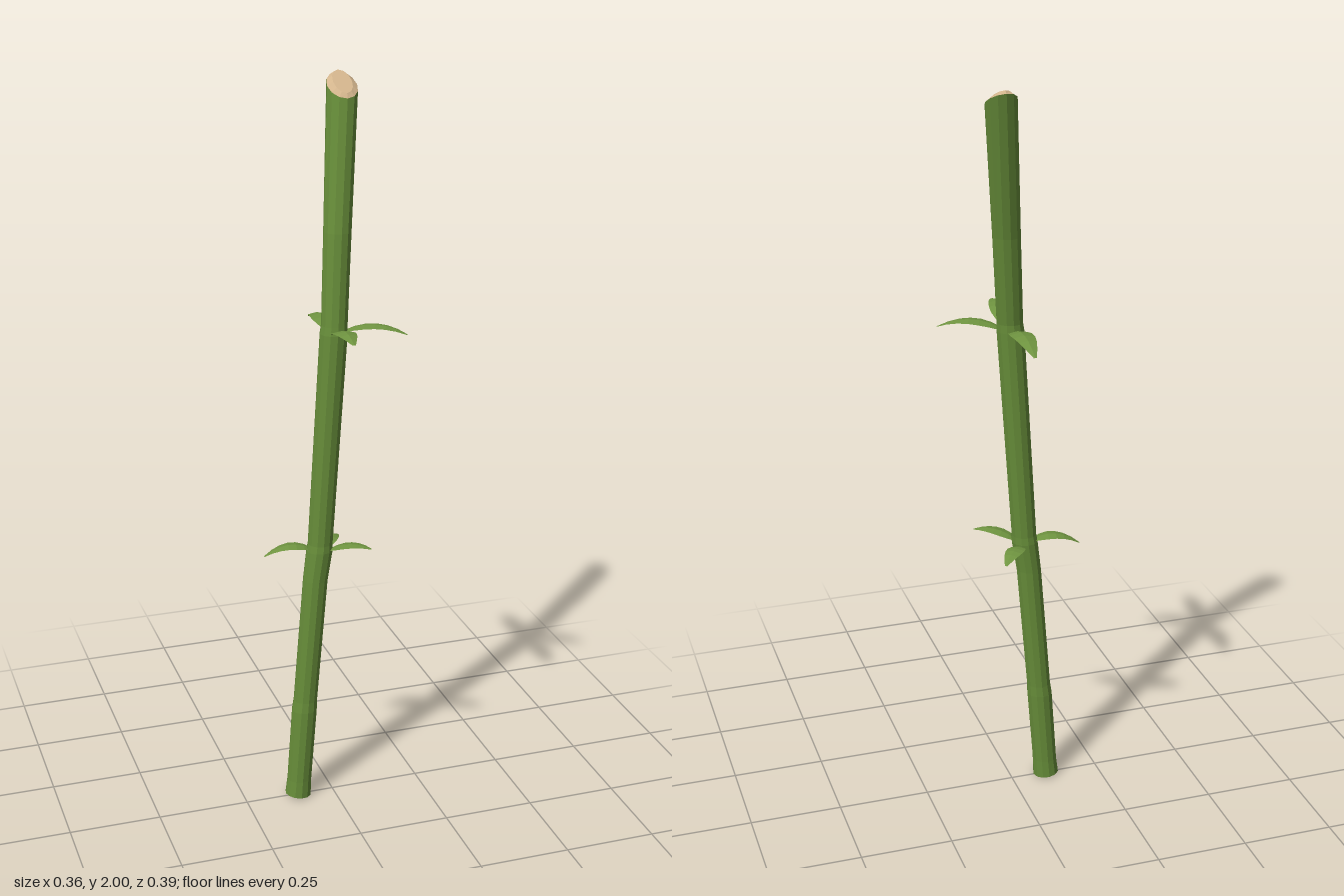
import * as THREE from 'three';

const SIDES = 12;

// Indexed grid of points, drawn with flat facets
function gridGeometry(rows, closed) {
  const n = rows[0].length, index = [];
  for (let i = 0; i < rows.length - 1; i++) {
    for (let k = 0; k < (closed ? n : n - 1); k++) {
      const a = i * n + k, b = i * n + (k + 1) % n;
      index.push(a, b, b + n, a, b + n, a + n);
    }
  }
  const g = new THREE.BufferGeometry();
  g.setAttribute('position', new THREE.Float32BufferAttribute(rows.flat(2), 3));
  g.setIndex(index);
  const flat = g.toNonIndexed();
  flat.computeVertexNormals();
  return flat;
}

// Elliptical ring; tiltX and tiltZ lift it along x and z
function ring([x, y, z, rx, rz = rx, tiltX = 0, tiltZ = 0]) {
  return Array.from({ length: SIDES }, (_, k) => {
    const a = (k / SIDES) * Math.PI * 2, s = Math.sin(a), c = Math.cos(a);
    return [x + rx * s, y + tiltX * s + tiltZ * c, z + rz * c];
  });
}

// Arched leaf blade with a gentle centre fold, from the stalk to its tip
function leafGeometry(base, tip, arch, halfWidth) {
  const b = new THREE.Vector3(...base), t = new THREE.Vector3(...tip);
  const mid = b.clone().lerp(t, 0.5);
  mid.y += arch * 2;
  const curve = new THREE.QuadraticBezierCurve3(b, mid, t);
  const side = new THREE.Vector3(t.z - b.z, 0, b.x - t.x).normalize();
  const widths = [0.4, 0.82, 1, 0.95, 0.78, 0.5, 0.13];
  const rows = widths.map((w, i) => {
    const p = curve.getPoint(i / (widths.length - 1));
    return [1, 0, -1].map((s) => {
      const q = p.clone().addScaledVector(side, s * w * halfWidth);
      q.y -= Math.abs(s) * w * halfWidth * 0.18;
      return q.toArray();
    });
  });
  return gridGeometry(rows, false);
}

export function createModel() {
  const group = new THREE.Group();
  group.name = 'bambooStalk';
  const stalkGreen = new THREE.MeshStandardMaterial({ color: 0x668c39, flatShading: true });
  stalkGreen.name = 'stalkGreen';
  const leafGreen = new THREE.MeshStandardMaterial({ color: 0x6f9440, flatShading: true, side: THREE.DoubleSide });
  leafGreen.name = 'leafGreen';
  const cutTan = new THREE.MeshStandardMaterial({ color: 0xd2b48c, flatShading: true });
  cutTan.name = 'cutTan';

  const add = (name, geometry, material) => {
    const mesh = new THREE.Mesh(geometry, material);
    mesh.name = name;
    group.add(mesh);
  };

  // Bent stalk, slightly thicker at the nodes, with a slanted upper end
  const bottom = [-0.101, 0.006, 0, 0.036, 0.036, -0.004];
  const cutRim = [0.059, 1.967, -0.1, 0.04, 0.045, 0, -0.026];
  const sections = [
    [-0.101, 0.006, 0, 0, 0],
    bottom,
    [-0.097, 0.055, 0, 0.034],
    [-0.081, 0.27, 0, 0.035],
    [-0.078, 0.3, 0, 0.033],
    [-0.048, 0.66, 0, 0.034],
    [-0.036, 0.745, 0, 0.036],
    [-0.034, 0.765, 0, 0.034],
    [0.004, 1.35, 0, 0.037],
    [0.006, 1.372, -0.001, 0.035],
    [0.024, 1.61, -0.031, 0.037],
    cutRim,
  ];
  add('stalk', gridGeometry(sections.map(ring), true), stalkGreen);

  // Bevelled cut face on the top
  const cut = [
    cutRim,
    [0.06, 1.9765, -0.1, 0.025, 0.037, 0, -0.0235],
    [0.06, 1.9765, -0.1, 0, 0],
  ];
  add('cutFace', gridGeometry(cut.map(ring), true), cutTan);

  // Leaves around the two nodes: base, tip, arch height, half width
  const leaves = [
    ['upperFrontLeaf', [0.004, 1.355, 0.025], [-0.005, 1.375, 0.192], 0.02, 0.03],
    ['upperBackLeaf', [0.003, 1.352, -0.025], [0.001, 1.34, -0.196], 0.025, 0.03],
    ['upperLeftLeaf', [0.027, 1.355, 0.006], [0.178, 1.352, 0.08], 0.022, 0.027],
    ['lowerRightLeaf', [-0.055, 0.748, -0.006], [-0.182, 0.732, -0.03], 0.022, 0.026],
    ['lowerFrontLeaf', [-0.015, 0.747, 0.012], [0.085, 0.762, 0.077], 0.015, 0.024],
    ['lowerBackLeaf', [-0.02, 0.738, -0.02], [0.052, 0.733, -0.112], 0.015, 0.024],
  ];
  for (const [name, ...spec] of leaves) add(name, leafGeometry(...spec), leafGreen);

  return group;
}
